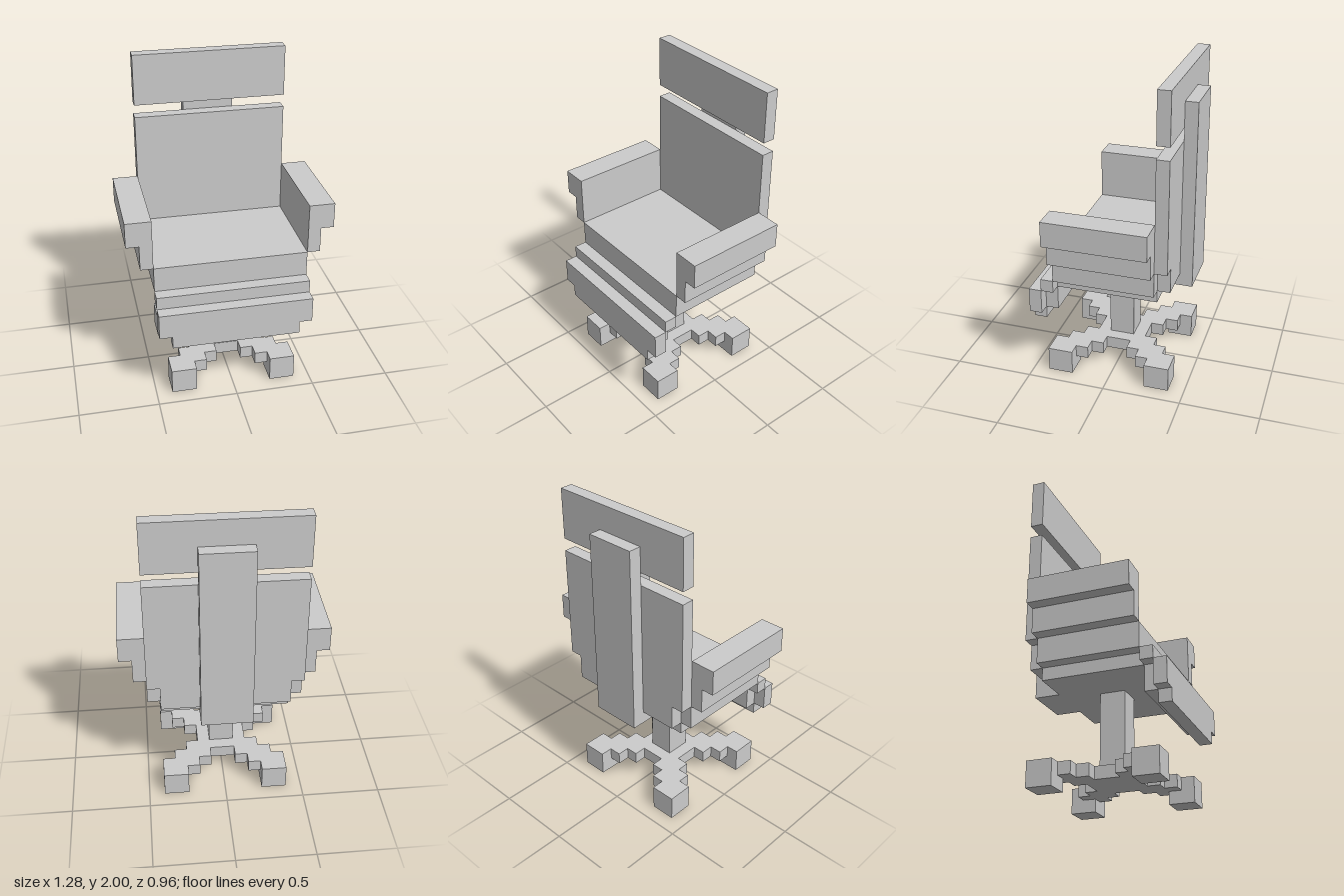
import * as THREE from 'three';

const U = 0.08; // size of one block

export function createModel() {
  const model = new THREE.Group();
  const material = new THREE.MeshStandardMaterial({ color: 0xcccccc, flatShading: true });

  // Box between two corners given in blocks
  function block(name, [x0, x1], [y0, y1], [z0, z1]) {
    const mesh = new THREE.Mesh(
      new THREE.BoxGeometry((x1 - x0) * U, (y1 - y0) * U, (z1 - z0) * U), material);
    mesh.position.set((x0 + x1) * U / 2, (y0 + y1) * U / 2, (z0 + z1) * U / 2);
    mesh.name = name;
    model.add(mesh);
  }
  // Box centred on x
  const wide = (name, half, y, z) => block(name, [-half, half], y, z);
  // Span from a to b, mirrored when s is -1
  const span = (s, a, b) => (s > 0 ? [a, b] : [-b, -a]);

  // Seat with a narrower underside
  wide('seat', 6, [9, 11], [-4, 4]);
  wide('seatUnderside', 5, [8, 9], [-4, 4]);

  // Backrest, headrest and the spine that carries them
  wide('backrest', 6, [11, 20], [-5, -4]);
  wide('backrestLower', 5, [9, 11], [-5, -4]);
  wide('headrest', 6, [21, 25], [-5, -4]);
  wide('spine', 2, [8, 23], [-6, -5]);
  wide('spineFoot', 2, [8, 9], [-5, -4]);

  // Stepped leg rest curling down at the front
  wide('legRestTop', 6, [8, 9], [4, 5]);
  wide('legRestBack', 5, [6, 8], [4, 5]);
  wide('legRestPad', 6, [6, 8], [5, 6]);
  wide('legRestLip', 5, [5, 6], [5, 6]);

  // Armrests
  for (const s of [1, -1]) {
    const side = s > 0 ? 'left' : 'right';
    block(side + 'ArmPanel', span(s, 6, 7), [11, 15], [-4, 4]);
    block(side + 'ArmPad', span(s, 7, 8), [13, 15], [-4, 4]);
  }

  // Post and cross-shaped base with stepped diagonal legs and feet
  wide('post', 1, [2, 8], [-1, 1]);
  wide('baseHub', 2, [1, 2], [-2, 2]);
  for (const sx of [1, -1]) {
    for (const sz of [1, -1]) {
      for (const i of [1, 2]) {
        block('baseLeg', span(sx, i, i + 2), [1, 2], span(sz, i, i + 2));
      }
      block('foot', span(sx, 3, 5), [0, 2], span(sz, 3, 5));
    }
  }
  return model;
}
